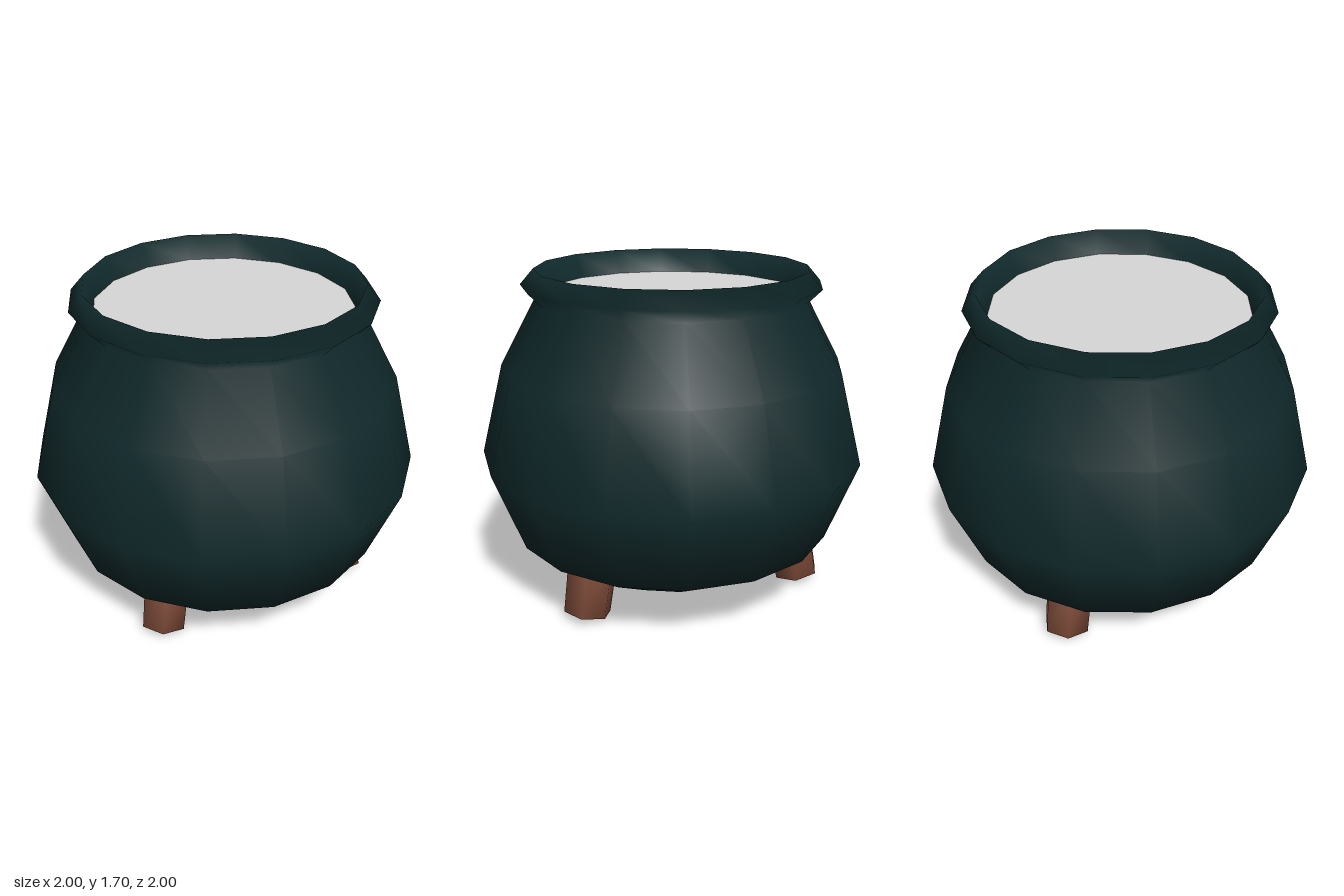
import * as THREE from 'three';
import { mergeVertices } from 'three/addons/utils/BufferGeometryUtils.js';

const SIDES = 16;
const material = (name, color) => new THREE.MeshStandardMaterial({ name, color });

function mesh(name, geometry, mat) {
  const m = new THREE.Mesh(geometry, mat);
  m.name = name;
  return m;
}

function lathe(points) {
  return new THREE.LatheGeometry(points.map(([r, y]) => new THREE.Vector2(r, y)), SIDES);
}

// Shares corners so the shading is smooth over every edge
function smooth(geometry) {
  geometry.deleteAttribute('normal');
  geometry.deleteAttribute('uv');
  const merged = mergeVertices(geometry);
  merged.computeVertexNormals();
  return merged;
}

export function createModel() {
  const iron = material('dark green iron', 0x10292b);
  const clay = material('brown clay', 0x7a4836);
  const milk = material('pale liquid', 0xd8d8d8);
  const model = new THREE.Group();
  model.name = 'cauldron';

  // Round pot with a flared rim that folds inwards
  model.add(mesh('pot', lathe([
    [0, 0.04], [0.46, 0.105], [0.84, 0.32], [1, 0.74], [0.88, 1.21], [0.695, 1.55],
    [0.765, 1.62], [0.695, 1.7], [0.65, 1.57],
  ]), iron));

  // Liquid surface just below the rim
  const liquid = mesh('liquid', new THREE.CircleGeometry(0.65, SIDES), milk);
  liquid.rotation.x = -Math.PI / 2;
  liquid.position.y = 1.575;
  model.add(liquid);

  // Three stubby six-sided legs, splayed outwards
  const legGeometry = smooth(new THREE.CylinderGeometry(0.13, 0.122, 0.32, 6));
  for (const [name, degrees, radius, y] of [
    ['leftLeg', 0, 0.64, 0.185], ['frontLeg', -113, 0.63, 0.18], ['backLeg', 123, 0.66, 0.19],
  ]) {
    const holder = new THREE.Group();
    holder.name = name;
    holder.rotation.y = THREE.MathUtils.degToRad(degrees);
    const leg = mesh(name + 'Post', legGeometry, clay);
    leg.position.set(radius, y, 0);
    leg.rotation.z = 0.19;
    holder.add(leg);
    model.add(holder);
  }
  return model;
}
